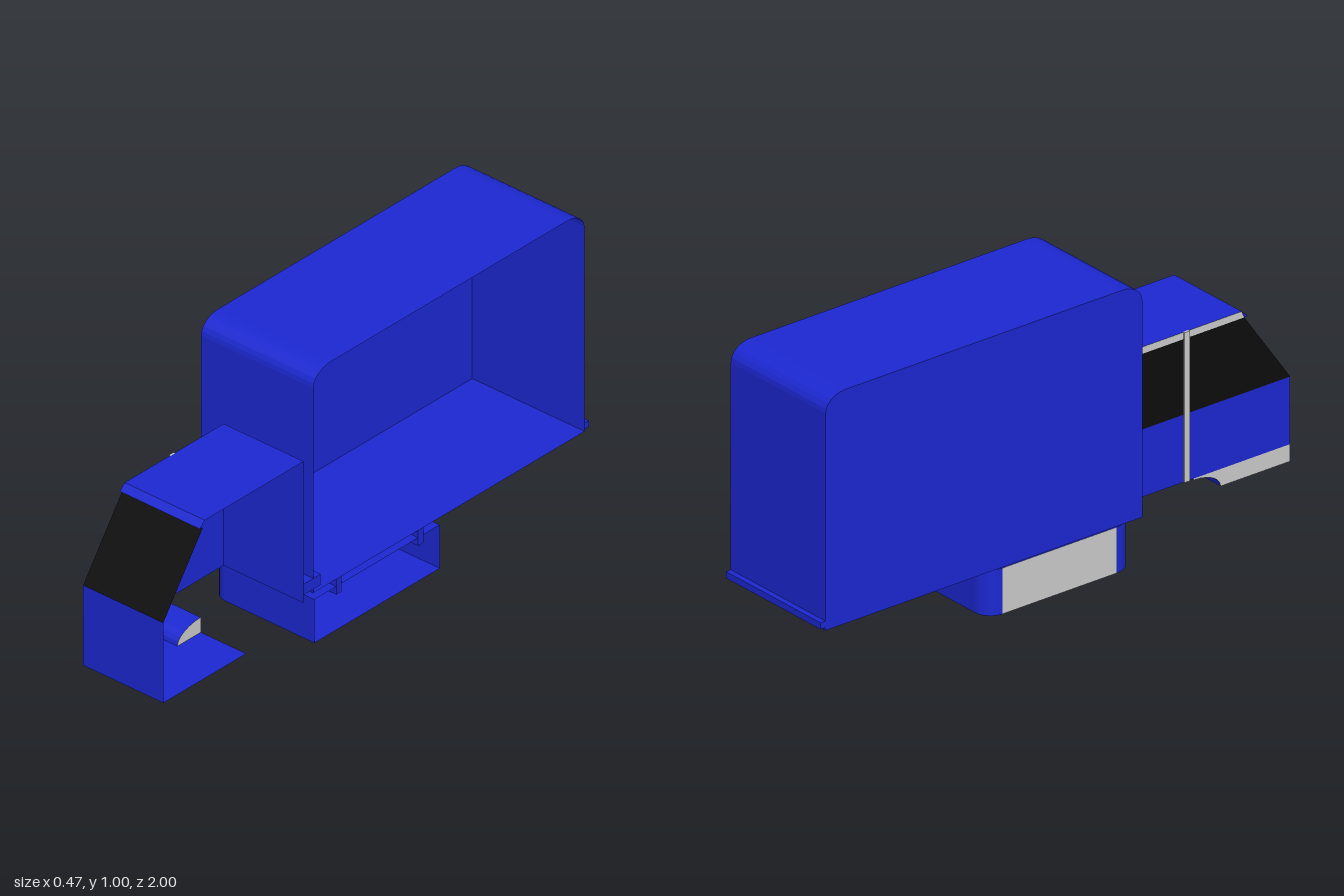
import * as THREE from 'three';

const mat = (color) => new THREE.MeshStandardMaterial({ color, side: THREE.DoubleSide, flatShading: true });
const blue = mat(0x1c28d2), black = mat(0x0d0d0d), grey = mat(0xcccccc);

// The truck is a half shell, open along the plane x = CUT
const CUT = 0.235;

export function createModel() {
  const model = new THREE.Group();
  let parent = model;

  const add = (name, geometry, material) => {
    const mesh = new THREE.Mesh(geometry, material);
    mesh.name = name;
    parent.add(mesh);
    return mesh;
  };
  const section = (name) => {
    parent = new THREE.Group();
    parent.name = name;
    model.add(parent);
  };
  const toShape = (pts) => new THREE.Shape(pts.map(([a, b]) => new THREE.Vector2(a, b)));

  // Flat upright panel at a given x, outline in (z, y)
  const sidePanel = (name, x, pts, material) =>
    add(name, new THREE.ShapeGeometry(toShape(pts)).rotateY(-Math.PI / 2).translate(x, 0, 0), material);
  // Flat level panel at a given y, outline in (x, z)
  const levelPanel = (name, y, pts, material) =>
    add(name, new THREE.ShapeGeometry(toShape(pts)).rotateX(Math.PI / 2).translate(0, y, 0), material);
  // Sheet made by sweeping a line of points between two levels
  const sweep = (name, pts, a, b, place, material) => {
    const pos = [], index = [];
    pts.forEach((p, i) => {
      pos.push(...place(p, a), ...place(p, b));
      const k = 2 * i;
      if (i) index.push(k - 2, k - 1, k, k - 1, k + 1, k);
    });
    const g = new THREE.BufferGeometry();
    g.setAttribute('position', new THREE.Float32BufferAttribute(pos, 3));
    g.setIndex(index);
    const flat = g.toNonIndexed();
    flat.computeVertexNormals();
    return add(name, flat, material);
  };
  const across = (name, pts, x0, x1, material) =>
    sweep(name, pts, x0, x1, ([z, y], x) => [x, y, z], material);
  const upright = (name, pts, y0, y1, material) =>
    sweep(name, pts, y0, y1, ([x, z], y) => [x, y, z], material);
  const block = (name, x0, x1, y0, y1, z0, z1, material) =>
    add(name, new THREE.BoxGeometry(x1 - x0, y1 - y0, z1 - z0)
      .translate((x0 + x1) / 2, (y0 + y1) / 2, (z0 + z1) / 2), material);
  const rect = (a0, a1, b0, b1) => [[a0, b0], [a1, b0], [a1, b1], [a0, b1]];
  // Points along an elliptical corner
  const arc = (ca, cb, ra, rb, from, to, n = 6) => Array.from({ length: n + 1 }, (_, i) => {
    const t = from + (to - from) * i / n;
    return [ca + ra * Math.cos(t), cb + rb * Math.sin(t)];
  });
  const PI = Math.PI;

  // Cargo box: rounded at the top front and top rear
  section('cargoBox');
  const boxProfile = [
    [0.295, 0.185],
    ...arc(0.215, 0.94, 0.08, 0.06, 0, PI / 2),
    ...arc(-0.9, 0.94, 0.08, 0.06, PI / 2, PI),
    [-0.98, 0.185],
  ];
  across('boxShell', boxProfile, -CUT, CUT, blue);
  sidePanel('boxSide', -CUT, boxProfile, blue);
  levelPanel('boxFloor', 0.187, rect(-CUT, CUT, -0.98, 0.295), blue);
  block('rearBumper', -CUT, CUT, 0.195, 0.218, -1, -0.98, blue);

  // Cab: front, roof and back sheets
  section('cab');
  const side = -0.1;
  across('frontPanel', [[1, 0.11], [1, 0.405]], side, CUT, blue);
  across('windshield', [[1, 0.405], [0.815, 0.668]], side, CUT, black);
  across('visor', [[0.815, 0.668], [0.828, 0.67], [0.805, 0.692]], side, CUT, blue);
  across('roof', [[0.805, 0.692], [0.34, 0.692]], side, CUT, blue);
  across('backPanel', [[0.34, 0.692], [0.34, 0.17]], side, CUT, blue);

  // Cab side: door, windows, grey trim
  sidePanel('doorPanel', side, rect(0.34, 1, 0.17, 0.405), blue);
  sidePanel('sideWindow', side, [[0.36, 0.405], [1, 0.405], [0.815, 0.668], [0.36, 0.668]], black);
  sidePanel('rearPillar', side, rect(0.34, 0.36, 0.405, 0.668), grey);
  sidePanel('roofTrim', side, [[0.34, 0.668], [0.815, 0.668], [0.805, 0.692], [0.34, 0.692]], grey);
  block('doorPillar', -0.105, -0.097, 0.17, 0.692, 0.57, 0.592, grey);

  // Lower front with the wheel arch
  const arch = arc(0.61, 0.11, 0.11, 0.055, 0, PI / 2);
  const well = 0.045;
  sidePanel('bumperSide', side, [[1, 0.11], [1, 0.17], [0.61, 0.17], ...arch.slice().reverse()], grey);
  across('wheelArch', arch, side, well, blue);
  sidePanel('wheelWell', well, [[0.61, 0.11], ...arch], grey);
  levelPanel('cabFloor', 0.11,
    [[side, 1], [CUT, 1], [CUT, 0.61], [well, 0.61], [well, 0.72], [side, 0.72]], blue);

  // Coupling between cab and box
  section('chassis');
  block('coupling', 0.188, CUT, 0.2, 0.24, 0.26, 0.34, blue);

  // Underslung tank with rounded outer corners
  section('tank');
  const frontCorner = arc(-0.14, 0.22, 0.06, 0.07, PI / 2, PI);
  const rearCorner = arc(-0.14, -0.24, 0.06, 0.06, PI, PI * 1.5);
  upright('tankFront', [[CUT, 0.29], ...frontCorner], 0, 0.16, blue);
  upright('tankSide', [[-0.2, 0.22], [-0.2, -0.24]], 0, 0.16, grey);
  upright('tankRear', [...rearCorner, [CUT, -0.3]], 0, 0.16, blue);
  const plan = [[CUT, 0.29], ...frontCorner, ...rearCorner, [CUT, -0.3]];
  levelPanel('tankBottom', 0, plan, blue);
  levelPanel('tankTop', 0.16, plan, blue);
  for (const z of [0.175, -0.21]) block('tankHanger', -0.118, CUT, 0.13, 0.187, z - 0.012, z + 0.012, blue);

  return model;
}
